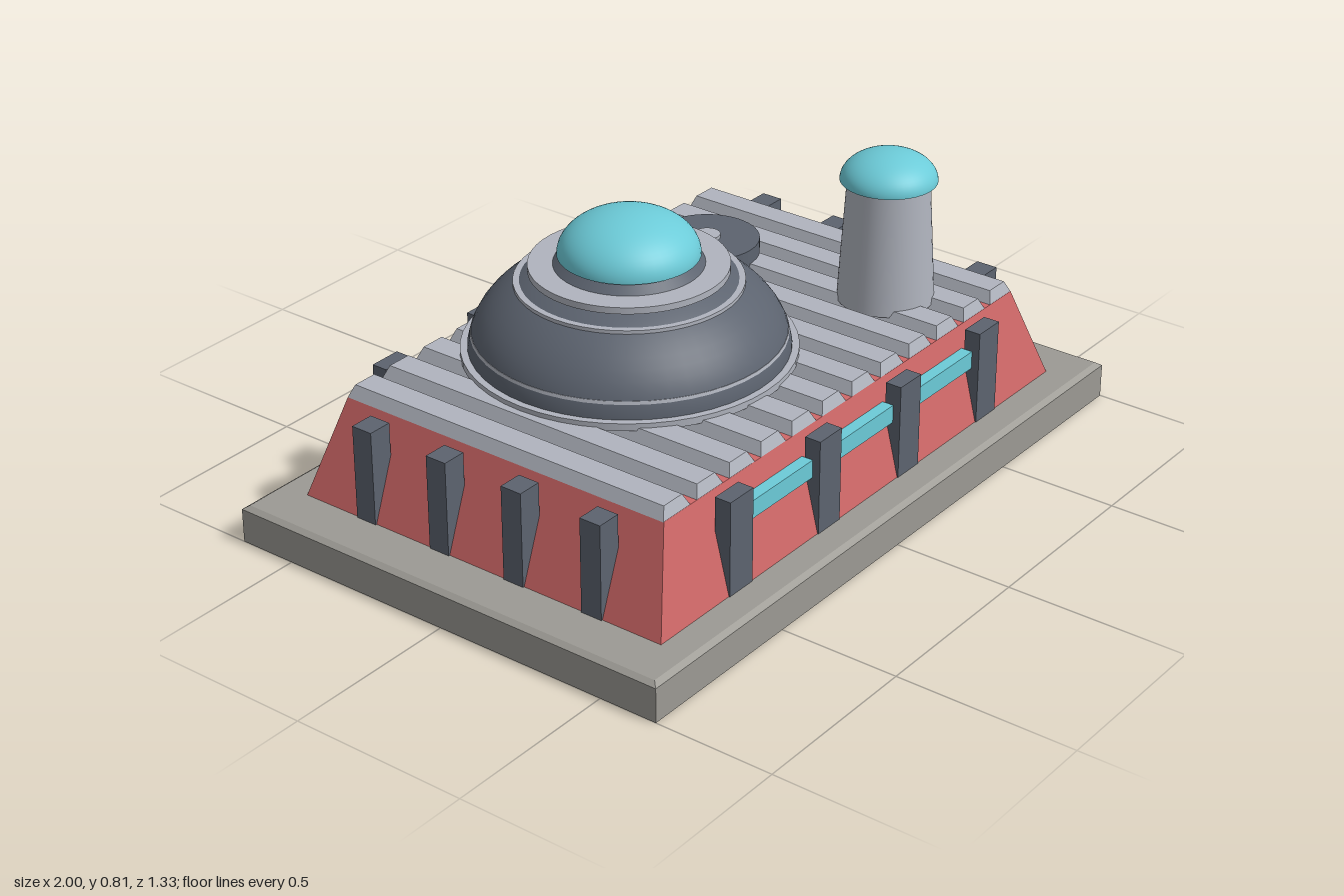
import * as THREE from 'three';

const mat = (name, color) => {
  const m = new THREE.MeshStandardMaterial({ color });
  m.name = name;
  return m;
};

export function createModel() {
  const model = new THREE.Group();
  model.name = 'domedBuilding';
  const red = mat('red wall', 0xd06868);
  const light = mat('light grey metal', 0xb0b4be);
  const dark = mat('dark slate', 0x5c636f);
  const cyan = mat('cyan glass', 0x6ccbd8);
  const stone = mat('stone', 0x9c9a94);

  const add = (name, geometry, material, x, y, z, parent = model) => {
    const mesh = new THREE.Mesh(geometry, material);
    mesh.name = name;
    mesh.position.set(x, y, z);
    parent.add(mesh);
    return mesh;
  };
  // Box whose top is narrower than its bottom, standing on y = 0
  const taperedBox = (w, d, topW, topD, h) => {
    const g = new THREE.BoxGeometry(w, h, d).translate(0, h / 2, 0);
    const p = g.attributes.position;
    for (let i = 0; i < p.count; i++) {
      if (p.getY(i) > h / 2) {
        p.setX(i, p.getX(i) * topW / w);
        p.setZ(i, p.getZ(i) * topD / d);
      }
    }
    g.computeVertexNormals();
    return g;
  };
  const disc = (rTop, rBottom, h) =>
    new THREE.CylinderGeometry(rTop, rBottom, h, 48).translate(0, h / 2, 0);
  // Flattened half sphere with a closed underside
  const halfDome = (name, r, h, material, x, y, z, parent) => {
    const g = new THREE.SphereGeometry(r, 48, 16, 0, Math.PI * 2, 0, Math.PI / 2).scale(1, h / r, 1);
    add(name, g, material, x, y, z, parent);
    add(name + 'Underside', new THREE.CircleGeometry(r, 48).rotateX(Math.PI / 2), material, x, y, z, parent);
  };

  // Base slab with a small bevel
  add('baseSlab', new THREE.BoxGeometry(2, 0.095, 1.333), stone, 0, 0.0475, 0);
  add('baseBevel', taperedBox(2, 1.333, 1.97, 1.303, 0.01), stone, 0, 0.095, 0);

  // Sloped walls
  add('walls', taperedBox(1.72, 1.146, 1.52, 1.01, 0.268), red, 0, 0.102, 0);

  // Roof ribs running front to back
  const ribs = new THREE.Group();
  ribs.name = 'roofRibs';
  model.add(ribs);
  const ribGeo = taperedBox(0.104, 1.01, 0.07, 0.985, 0.033);
  for (let i = 0; i < 12; i++) add('roofRib', ribGeo, light, -0.709 + i * 0.1289, 0.369, 0, ribs);

  // Upright buttresses on all four walls
  const buttresses = new THREE.Group();
  buttresses.name = 'buttresses';
  model.add(buttresses);
  const frontGeo = new THREE.BoxGeometry(0.092, 0.265, 0.046);
  const sideGeo = new THREE.BoxGeometry(0.068, 0.265, 0.062);
  for (const s of [-1, 1]) {
    for (const x of [-0.546, -0.177, 0.177, 0.546]) add('longWallButtress', frontGeo, dark, x, 0.2355, s * 0.552, buttresses);
    for (const z of [-0.364, -0.12, 0.12, 0.364]) add('endWallButtress', sideGeo, dark, s * 0.829, 0.2355, z, buttresses);
  }

  // Window strips between the front buttresses
  for (const [x, w] of [[-0.3615, 0.277], [0, 0.262], [0.3615, 0.277]]) {
    add('windowStrip', new THREE.BoxGeometry(w, 0.05, 0.05), cyan, x, 0.285, 0.528);
  }

  // Main dome with rings
  const dome = new THREE.Group();
  dome.name = 'mainDome';
  dome.position.set(-0.158, 0, -0.074);
  model.add(dome);
  add('domeFlange', disc(0.438, 0.438, 0.02), light, 0, 0.395, 0, dome);
  halfDome('domeShell', 0.42, 0.27, dark, 0, 0.4, 0, dome);
  add('lowerBand', disc(0.4095, 0.4125, 0.012), light, 0, 0.45, 0, dome);
  add('middleRing', disc(0.298, 0.298, 0.017), light, 0, 0.583, 0, dome);
  add('upperRing', disc(0.26, 0.26, 0.018), light, 0, 0.626, 0, dome);
  add('domeNeck', disc(0.165, 0.2, 0.031), dark, 0, 0.64, 0, dome);
  halfDome('glassCap', 0.185, 0.115, cyan, 0, 0.67, 0, dome);

  // Tower with glass cap
  const tower = new THREE.Group();
  tower.name = 'tower';
  tower.position.set(0.509, 0, 0.268);
  model.add(tower);
  add('towerShaft', disc(0.11, 0.131, 0.345), light, 0, 0.385, 0, tower);
  halfDome('towerCap', 0.13, 0.079, cyan, 0, 0.727, 0, tower);

  // Round roof vent
  const vent = new THREE.Group();
  vent.name = 'roofVent';
  vent.position.set(0.412, 0, -0.256);
  model.add(vent);
  add('ventDrum', disc(0.144, 0.144, 0.063), dark, 0, 0.38, 0, vent);
  add('ventHub', disc(0.036, 0.036, 0.012), light, 0, 0.441, 0, vent);

  return model;
}
